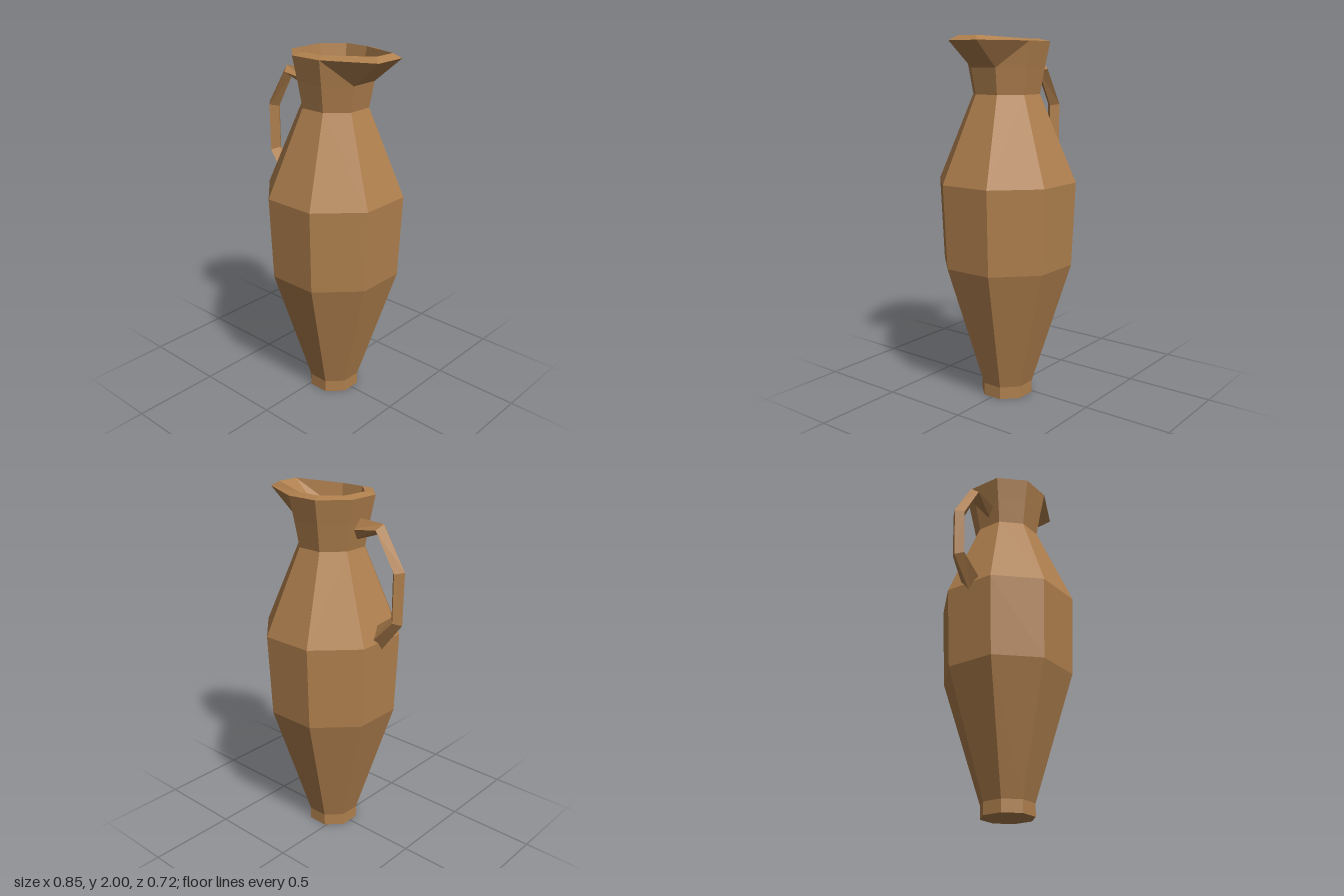
import * as THREE from 'three';

const clay = new THREE.MeshStandardMaterial({ color: 0xb0804e, flatShading: true });
clay.name = 'clay brown';

const AXIS_X = 0.067; // the body stands off centre to leave room for the handle

// Eight-sided ring with flats facing x and z; a is the distance to a flat.
function octagon(y, a) {
  const r = a / Math.cos(Math.PI / 8);
  return Array.from({ length: 8 }, (_, k) => {
    const t = Math.PI / 8 + (k * Math.PI) / 4;
    return [AXIS_X + r * Math.cos(t), y, -r * Math.sin(t)];
  });
}

// Skin a list of rings and cap both ends.
function loft(name, rings) {
  const n = rings[0].length;
  const pos = [];
  const tri = (...pts) => pts.forEach((p) => pos.push(...p));
  for (let i = 0; i < rings.length - 1; i++) {
    for (let k = 0; k < n; k++) {
      const k1 = (k + 1) % n;
      const a = rings[i][k], b = rings[i][k1];
      const c = rings[i + 1][k1], d = rings[i + 1][k];
      // mirrored diagonals keep the two sides symmetric
      if (k < n / 2) { tri(a, b, c); tri(a, c, d); }
      else { tri(a, b, d); tri(b, c, d); }
    }
  }
  const first = rings[0], last = rings[rings.length - 1];
  for (let k = 1; k < n - 1; k++) {
    tri(first[0], first[k + 1], first[k]);
    tri(last[0], last[k], last[k + 1]);
  }
  const geo = new THREE.BufferGeometry();
  geo.setAttribute('position', new THREE.Float32BufferAttribute(pos, 3));
  geo.computeVertexNormals();
  const mesh = new THREE.Mesh(geo, clay);
  mesh.name = name;
  return mesh;
}

// Pull the two +x corners of a ring out into the pouring lip.
function spout(ring, x, y, z) {
  ring[0] = [x, y, -z];
  ring[7] = [x, y, z];
  return ring;
}

export function createModel() {
  const group = new THREE.Group();
  group.name = 'jug';

  // Outer wall from foot to neck, and the inner wall one thickness inside it
  const wall = 0.054;
  const profile = [
    [0, 0.137], [0.07, 0.137], [0.77, 0.34], [1.23, 0.358], [1.7, 0.172], [1.84, 0.196],
  ];
  const outer = profile.map(([y, a]) => octagon(y, a));
  const inner = profile.slice(1).reverse().map(([y, a]) => octagon(y, a - wall));

  // Rim: outer edge, then the slightly raised inner edge
  const rimOuter = spout(octagon(1.975, 0.222), 0.425, 1.975, 0.092);
  const rimInner = spout(octagon(1.988, 0.168), 0.388, 2.0, 0.063);
  group.add(loft('body', [...outer, rimOuter, rimInner, ...inner]));

  // Handle: diamond section, [outer x, y, side x, y, inner x, y, half width]
  const handle = [
    [-0.262, 1.15, -0.25, 1.22, -0.23, 1.295, 0.066],
    [-0.42, 1.35, -0.386, 1.366, -0.35, 1.38, 0.04],
    [-0.427, 1.635, -0.389, 1.628, -0.352, 1.62, 0.04],
    [-0.286, 1.859, -0.266, 1.83, -0.25, 1.8, 0.04],
    [-0.1, 1.869, -0.095, 1.807, -0.09, 1.745, 0.04],
  ].map(([ox, oy, sx, sy, ix, iy, w]) => [[ox, oy, 0], [sx, sy, w], [ix, iy, 0], [sx, sy, -w]]);
  group.add(loft('handle', handle));

  return group;
}
